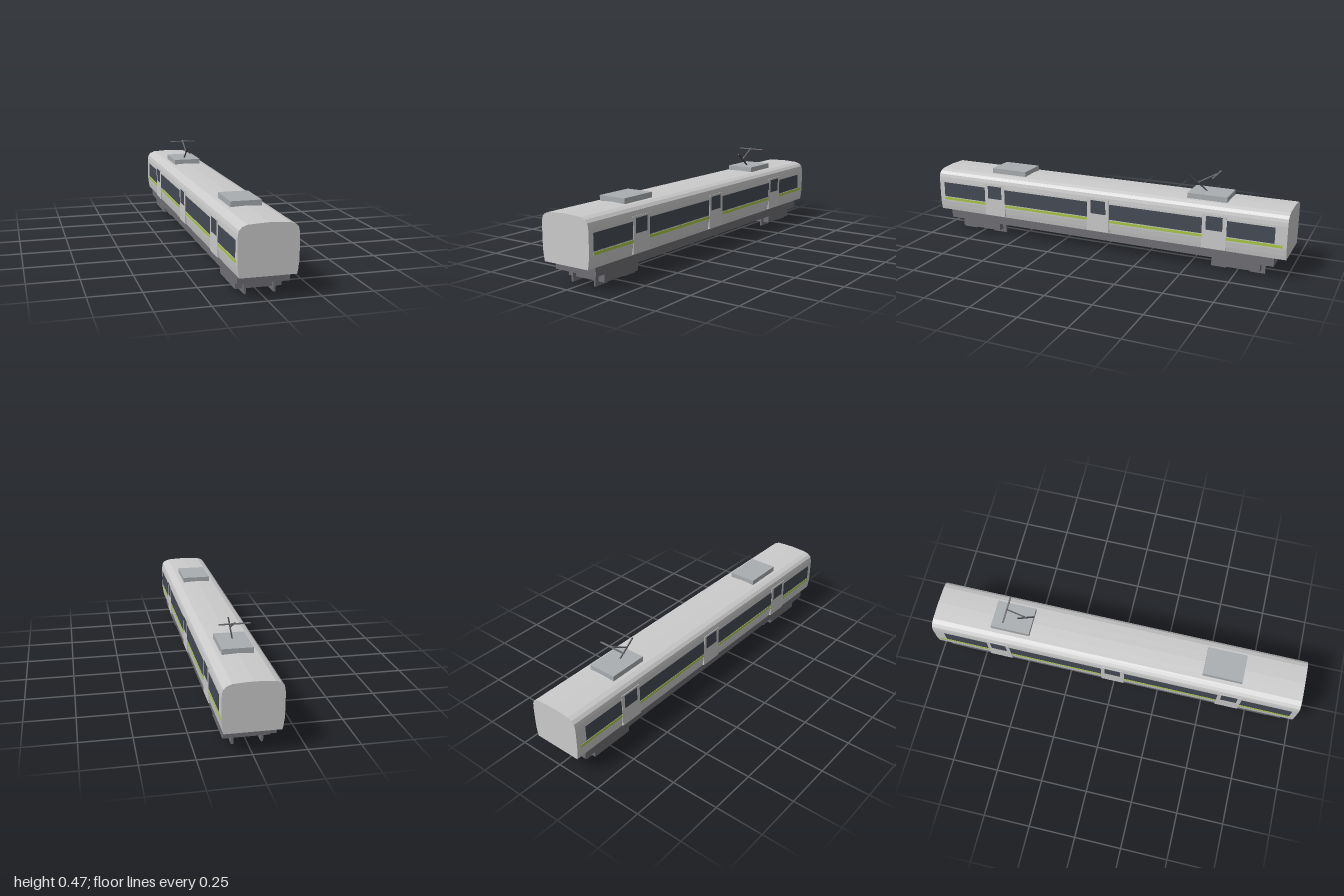
import * as THREE from 'three';

const material = (color) => new THREE.MeshStandardMaterial({ color, flatShading: true });

export function createModel() {
  const model = new THREE.Group();
  const grey = material(0xcccccc);
  const chassis = material(0x6e6e74);
  const roofGrey = material(0xaaaeb1);
  const glass = material(0x454a54);
  const green = material(0xa9c746);
  const dark = material(0x3c3e44);

  // Box given by its lower and upper corners
  function box(name, mat, [x0, y0, z0], [x1, y1, z1], parent = model) {
    const mesh = new THREE.Mesh(new THREE.BoxGeometry(x1 - x0, y1 - y0, z1 - z0), mat);
    mesh.position.set((x0 + x1) / 2, (y0 + y1) / 2, (z0 + z1) / 2);
    mesh.name = name;
    parent.add(mesh);
    return mesh;
  }

  // Car body: half section mirrored and extruded along the length
  const half = [[0.131, 0.112], [0.135, 0.135], [0.139, 0.165], [0.14, 0.2], [0.14, 0.285],
    [0.138, 0.305], [0.134, 0.322], [0.12, 0.336], [0.096, 0.345], [0.05, 0.348], [0, 0.35]];
  const section = [...half, ...half.slice(0, -1).reverse().map(([x, y]) => [-x, y])];
  const shape = new THREE.Shape(section.map(([x, y]) => new THREE.Vector2(x, y)));
  const bodyGeometry = new THREE.ExtrudeGeometry(shape, { depth: 2, bevelEnabled: false });
  bodyGeometry.translate(0, 0, -1);
  const body = new THREE.Mesh(bodyGeometry, grey);
  body.name = 'carBody';
  model.add(body);

  // Underframe
  box('underframe', chassis, [-0.122, 0.064, -0.94], [0.122, 0.113, 0.94]);

  // Bogies with four wheel plates each, and a roof unit above each
  for (const end of [1, -1]) {
    const bogie = new THREE.Group();
    bogie.name = end > 0 ? 'frontBogie' : 'rearBogie';
    bogie.position.z = end * 0.75;
    model.add(bogie);
    box('bogieFrame', chassis, [-0.11, 0.02, -0.12], [0.11, 0.065, 0.12], bogie);
    for (const x of [-0.069, 0.069])
      for (const z of [-0.1, 0.1])
        box('wheel', chassis, [x - 0.0055, 0, z - 0.04], [x + 0.0055, 0.064, z + 0.04], bogie);
    box('roofUnit', roofGrey, [-0.076, 0.34, end * 0.575 - 0.105], [0.076, 0.374, end * 0.575 + 0.105]);
  }

  // Windows, stripe and doors on both sides
  const windows = [[0.7, 0.97], [0.065, 0.572], [-0.572, -0.06], [-0.94, -0.7]];
  for (const side of [1, -1]) {
    const sideBox = (name, mat, outer, y0, y1, z0, z1) => {
      const xs = [side * 0.125, side * outer].sort((a, b) => a - b);
      box(name, mat, [xs[0], y0, z0], [xs[1], y1, z1]);
    };
    for (const [z0, z1] of windows) sideBox('window', glass, 0.1408, 0.192, 0.275, z0, z1);
    sideBox('stripe', green, 0.141, 0.173, 0.187, -0.98, 0.97);
    for (const z of [-0.635, 0, 0.635]) {
      sideBox('door', grey, 0.1416, 0.117, 0.298, z - 0.063, z + 0.063);
      sideBox('doorWindow', glass, 0.1424, 0.215, 0.288, z - 0.043, z + 0.043);
    }
  }

  // Pantograph: two sloping arms and a contact bar
  function arm(name, mat, y0, z0, y1, z1) {
    const length = Math.hypot(y1 - y0, z1 - z0);
    const mesh = new THREE.Mesh(new THREE.BoxGeometry(0.006, 0.006, length), mat);
    mesh.position.set(0, (y0 + y1) / 2, (z0 + z1) / 2);
    mesh.rotation.x = -Math.atan2(y1 - y0, z1 - z0);
    mesh.name = name;
    model.add(mesh);
  }
  arm('lowerArm', dark, 0.37, -0.555, 0.447, -0.456);
  arm('upperArm', chassis, 0.411, -0.498, 0.471, -0.602);
  box('contactBar', chassis, [-0.076, 0.462, -0.604], [0.076, 0.467, -0.596]);

  return model;
}
